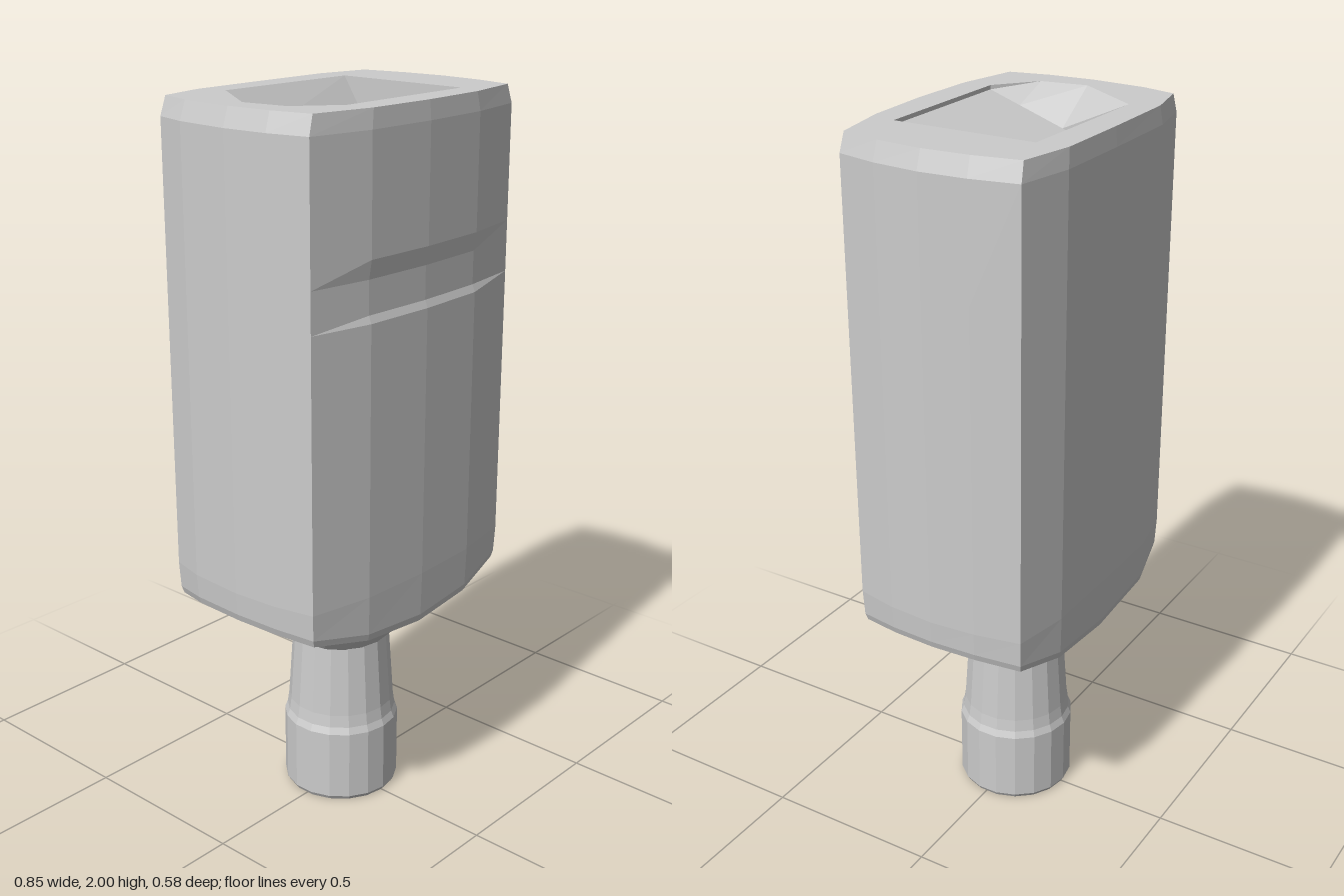
import * as THREE from 'three';

const material = new THREE.MeshStandardMaterial({ color: 0xcccccc, flatShading: true, side: THREE.DoubleSide });

// Skin a list of equal-length closed rings, ordered bottom to top
function loft(rings) {
  const n = rings[0].length, index = [];
  for (let r = 0; r < rings.length - 1; r++) {
    for (let j = 0; j < n; j++) {
      const a = r * n + j, b = r * n + (j + 1) % n;
      index.push(a, b, b + n, a, b + n, a + n);
    }
  }
  const geometry = new THREE.BufferGeometry();
  geometry.setAttribute('position', new THREE.Float32BufferAttribute(rings.flat(2), 3));
  geometry.setIndex(index);
  geometry.computeVertexNormals();
  return geometry;
}

function addPart(group, name, geometry) {
  const mesh = new THREE.Mesh(geometry, material);
  mesh.name = name;
  group.add(mesh);
  return mesh;
}

// Bulged rectangular plan of the body as [x, z], counterclockwise from above
const plan = [
  [0.425, 0], [0.415, -0.13], [0.39, -0.258], [0.23, -0.288],
  [0, -0.29], [-0.25, -0.288], [-0.39, -0.258], [-0.415, -0.16],
  [-0.425, 0], [-0.415, 0.13], [-0.39, 0.245], [-0.21, 0.28],
  [0, 0.287], [0.21, 0.278], [0.39, 0.245], [0.415, 0.13],
];
const planRing = (y, sx = 1, sz = 1) => plan.map(([x, z]) => [x * sx, y, z * sz]);

// Body underside edge rises towards the two sides
const hem = (lift, s) => plan.map(([x, z]) => [x * s, 0.595 + lift + 0.06 * (x / 0.42) ** 2, z * s]);

// Shallow groove across the middle of the front face
const grooveRing = (y) => planRing(y).map(([x, h, z]) => [x, h, z > 0.27 ? z - 0.008 : z]);

function circle(y, rx, front, back) {
  return plan.map((_, i) => {
    const a = i / plan.length * Math.PI * 2, s = -Math.sin(a);
    return [Math.cos(a) * rx, y, s * (s > 0 ? front : back)];
  });
}

export function createModel() {
  const model = new THREE.Group();
  model.name = 'model';

  // Tall body with softened top and bottom edges
  addPart(model, 'body', loft([
    hem(0, 0.975), hem(0.02, 0.99), planRing(0.74), planRing(1.48),
    grooveRing(1.5), grooveRing(1.59), planRing(1.64), planRing(1.95), planRing(2, 0.96, 0.985),
  ]));

  // Underside closing in to a funnel that flares more to the front
  addPart(model, 'funnel', loft([
    circle(0.475, 0.138, 0.128, 0.145), circle(0.585, 0.22, 0.24, 0.18), hem(0, 0.975),
  ]));

  // Tapered neck above a wider collar, closed below
  const profile = [[0, 0], [0.158, 0], [0.165, 0.012], [0.165, 0.215], [0.157, 0.235], [0.152, 0.27], [0.138, 0.48]];
  const neck = addPart(model, 'neckAndCollar',
    new THREE.LatheGeometry(profile.map(([x, y]) => new THREE.Vector2(x, y)), 18));
  neck.position.z = -0.008;

  // Top rim around the opening
  const opening = [[-0.21, -0.21], [0.23, -0.2], [0.23, 0.2], [-0.21, 0.2], [-0.32, 0.11], [-0.34, -0.02]];
  const toShape = (points, Type) => new Type(points.map(([x, z]) => new THREE.Vector2(x, -z)));
  const rimShape = toShape(plan.map(([x, z]) => [x * 0.96, z * 0.985]), THREE.Shape);
  rimShape.holes.push(toShape(opening, THREE.Path));
  addPart(model, 'topRim', new THREE.ShapeGeometry(rimShape).rotateX(-Math.PI / 2).translate(0, 2, 0));

  // Recess: the floor sinks from the front edge towards the back
  const floor = [[-0.21, -0.12], [0.23, -0.12], [0.23, 0.2], [-0.21, 0.2], [-0.21, 0.11], [-0.21, -0.02]];
  const floorY = (z) => 1.88 + (z + 0.12) * 0.34;
  const upper = opening.map(([x, z]) => [x, 2, z]);
  const lower = floor.map(([x, z]) => [x, floorY(z), z]);
  addPart(model, 'recessWalls', loft([lower, upper].map((ring) => ring)));

  const floorGeometry = new THREE.ShapeGeometry(toShape(floor, THREE.Shape)).rotateX(-Math.PI / 2);
  const p = floorGeometry.attributes.position;
  for (let i = 0; i < p.count; i++) p.setY(i, floorY(p.getZ(i)));
  floorGeometry.computeVertexNormals();
  addPart(model, 'recessFloor', floorGeometry);

  return model;
}
